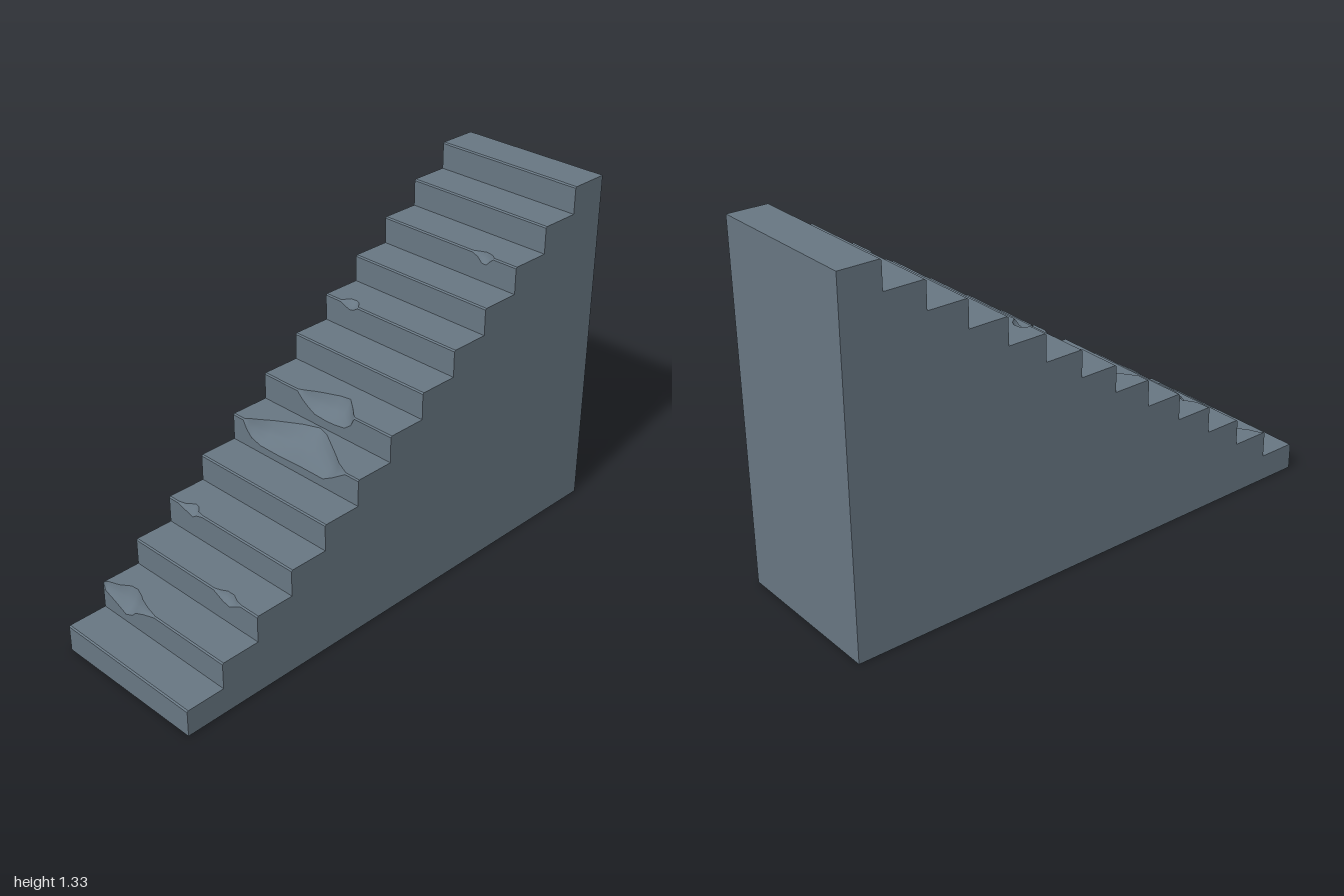
import * as THREE from 'three';
import { mergeGeometries } from 'three/addons/utils/BufferGeometryUtils.js';

const STEPS = 13, HALF = 0.307, HEIGHT = 1.333;
const RISE = HEIGHT / STEPS, RUN = 2 / STEPS, BEVEL = 0.005;

// Broken edges per step index: [x, drop down the riser, depth into the tread]
const CHIPS = {
  1: [[-0.304, 0.005, 0.005], [-0.295, 0.03, 0.015], [-0.255, 0.045, 0.03], [-0.22, 0.06, 0.055], [-0.19, 0.074, 0.058],
    [-0.155, 0.06, 0.045], [-0.135, 0.04, 0.034], [-0.09, 0.022, 0.018], [-0.035, 0.005, 0.005]],
  2: [[0.095, 0.005, 0.005], [0.115, 0.015, 0.012], [0.14, 0.027, 0.025], [0.17, 0.034, 0.025], [0.2, 0.018, 0.01], [0.225, 0.005, 0.005]],
  3: [[-0.26, 0.005, 0.005], [-0.235, 0.013, 0.012], [-0.205, 0.02, 0.035], [-0.185, 0.027, 0.03], [-0.165, 0.014, 0.012], [-0.135, 0.005, 0.005]],
  5: [[-0.256, 0.005, 0.005], [-0.24, 0.035, 0.018], [-0.215, 0.06, 0.035], [-0.17, 0.073, 0.068], [-0.08, 0.074, 0.122], [-0.02, 0.072, 0.146],
    [0.03, 0.07, 0.13], [0.14, 0.07, 0.062], [0.185, 0.045, 0.032], [0.245, 0.005, 0.005]],
  6: [[-0.14, 0.005, 0.005], [-0.115, 0.03, 0.018], [-0.085, 0.05, 0.036], [-0.055, 0.065, 0.05], [0, 0.069, 0.074], [0.04, 0.067, 0.082],
    [0.09, 0.06, 0.042], [0.12, 0.037, 0.015], [0.136, 0.005, 0.005]],
  8: [[-0.235, 0.005, 0.005], [-0.215, 0.013, 0.035], [-0.19, 0.022, 0.038], [-0.17, 0.018, 0.03], [-0.15, 0.005, 0.005]],
  10: [[0.11, 0.005, 0.005], [0.135, 0.014, 0.017], [0.155, 0.034, 0.025], [0.175, 0.034, 0.022], [0.19, 0.018, 0.018], [0.205, 0.005, 0.005]],
};

// Surface through a row of cross-sections, each with the same point count
function loft(rows) {
  const n = rows[0].length, index = [];
  for (let i = 0; i < rows.length - 1; i++) {
    for (let j = 0; j < n - 1; j++) {
      const a = i * n + j, b = a + n;
      index.push(a, b, a + 1, b, b + 1, a + 1);
    }
  }
  const geo = new THREE.BufferGeometry();
  geo.setAttribute('position', new THREE.Float32BufferAttribute(rows.flat(2), 3));
  geo.setIndex(index);
  geo.computeVertexNormals();
  return geo;
}

// One step: riser, worn or chipped edge, tread
function stepGeometry(i) {
  const y0 = i * RISE, y1 = y0 + RISE, z0 = 1 - i * RUN, z1 = z0 - RUN;
  const stations = [[-HALF, BEVEL, BEVEL], ...(CHIPS[i] || []), [HALF, BEVEL, BEVEL]];
  const riser = [], edge = [], tread = [];
  for (const [x, drop, depth] of stations) {
    const hollow = drop > BEVEL ? 0.15 * Math.min(drop, depth) : 0;
    riser.push([[x, y0, z0], [x, y1 - drop, z0]]);
    edge.push([0, 0.25, 0.5, 0.75, 1].map((t) => {
      const dip = hollow * Math.sin(Math.PI * t);
      return [x, y1 - drop * (1 - t) - dip, z0 - depth * t - dip];
    }));
    tread.push([[x, y1, z0 - depth], [x, y1, z1]]);
  }
  return mergeGeometries([loft(riser), loft(edge), loft(tread)]);
}

export function createModel() {
  const model = new THREE.Group();
  model.name = 'staircase';
  const stone = new THREE.MeshStandardMaterial({ color: 0x687783, side: THREE.DoubleSide });
  stone.name = 'slate grey stone';
  const add = (geo, name) => {
    const mesh = new THREE.Mesh(geo, stone);
    mesh.name = name;
    model.add(mesh);
    return mesh;
  };

  for (let i = 0; i < STEPS; i++) add(stepGeometry(i), `step${i + 1}`);

  // Stepped side walls; shape x runs along -z
  const profile = new THREE.Shape();
  profile.moveTo(-1, 0);
  for (let i = 0; i < STEPS; i++) {
    const z = -1 + i * RUN, y = (i + 1) * RISE;
    profile.lineTo(z, y - BEVEL);
    profile.lineTo(z + BEVEL, y);
    profile.lineTo(z + RUN, y);
  }
  profile.lineTo(1, 0);
  const left = new THREE.ShapeGeometry(profile).rotateY(Math.PI / 2).translate(HALF, 0, 0);
  add(left, 'leftWall');
  const mirrored = new THREE.Shape(profile.getPoints().map((p) => new THREE.Vector2(-p.x, p.y)));
  add(new THREE.ShapeGeometry(mirrored).rotateY(-Math.PI / 2).translate(-HALF, 0, 0), 'rightWall');

  // Back wall; the underside stays open
  add(new THREE.PlaneGeometry(HALF * 2, HEIGHT).rotateY(Math.PI).translate(0, HEIGHT / 2, -1), 'backWall');
  return model;
}
